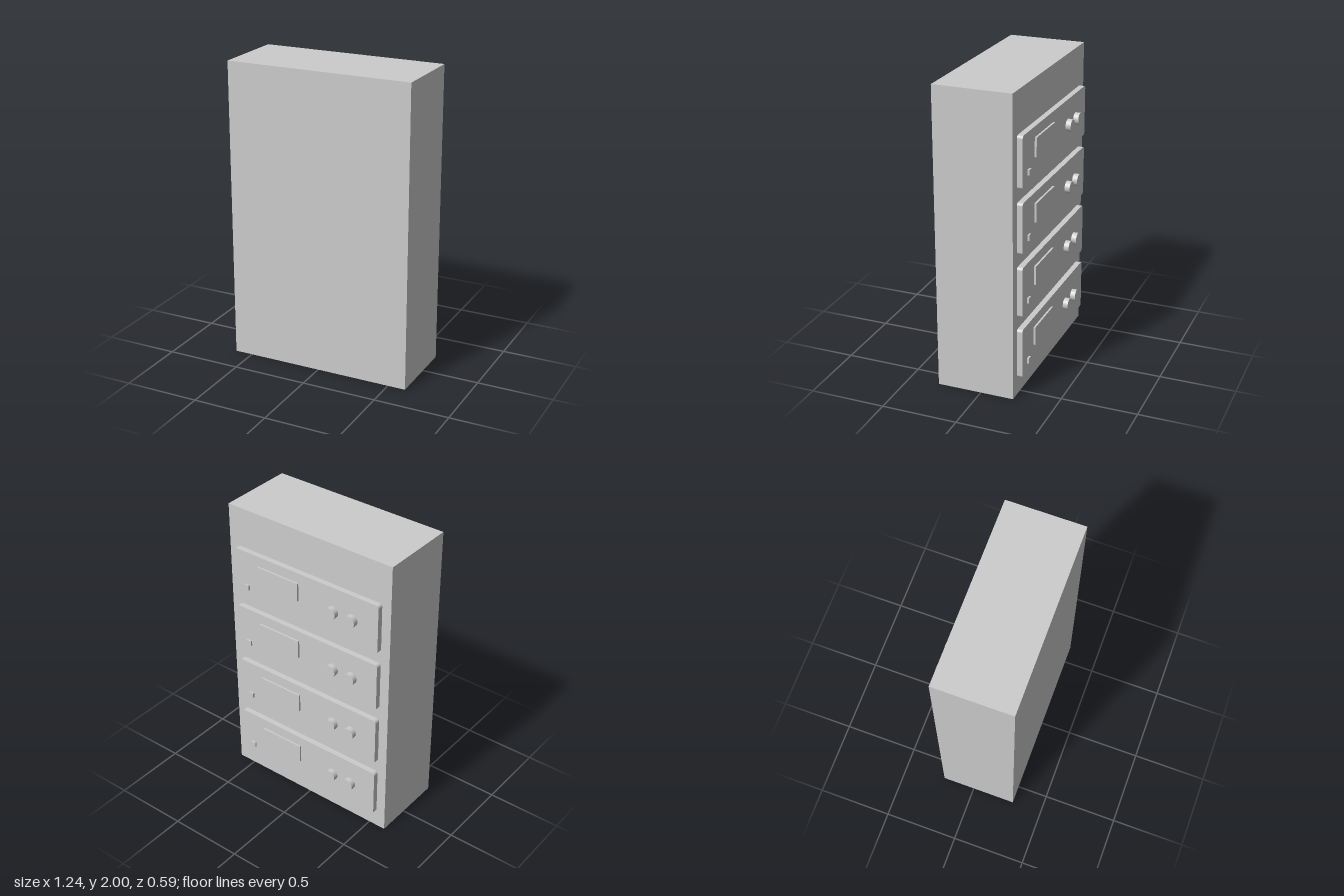
import * as THREE from 'three';

const material = new THREE.MeshStandardMaterial({ color: 0xcccccc });

function add(parent, name, geometry, x, y, z) {
  const mesh = new THREE.Mesh(geometry, material);
  mesh.name = name;
  mesh.position.set(x, y, z);
  parent.add(mesh);
  return mesh;
}

// Flat plate with rounded corners, extruded along z from 0 to depth
function roundedPlate(w, h, depth, r) {
  const x = w / 2 - r, y = h / 2 - r;
  const shape = new THREE.Shape();
  shape.absarc(x, y, r, 0, Math.PI / 2);
  shape.absarc(-x, y, r, Math.PI / 2, Math.PI);
  shape.absarc(-x, -y, r, Math.PI, Math.PI * 1.5);
  shape.absarc(x, -y, r, Math.PI * 1.5, Math.PI * 2);
  return new THREE.ExtrudeGeometry(shape, { depth, bevelEnabled: false, curveSegments: 6 });
}

export function createModel() {
  const model = new THREE.Group();
  model.name = 'rackCabinet';

  // Cabinet body
  add(model, 'cabinet', new THREE.BoxGeometry(1.24, 2, 0.514), 0, 1, 0.036);

  const faceZ = -0.258;
  const plate = roundedPlate(1.11, 0.338, 0.038, 0.02);
  const display = new THREE.BoxGeometry(0.316, 0.125, 0.013);
  const button = new THREE.BoxGeometry(0.036, 0.036, 0.013);
  const knob = new THREE.CylinderGeometry(0.04, 0.04, 0.035, 32).rotateX(Math.PI / 2);

  // Four identical control units on the rear face
  for (let i = 0; i < 4; i++) {
    const unit = new THREE.Group();
    unit.name = `controlUnit${i + 1}`;
    unit.position.y = 0.291 + i * 0.423;
    model.add(unit);

    add(unit, 'facePlate', plate, 0, 0, faceZ);
    add(unit, 'display', display, 0.203, 0.038, faceZ - 0.0065);
    add(unit, 'powerButton', button, 0.459, -0.083, faceZ - 0.0065);
    for (const x of [-0.365, -0.22]) add(unit, 'knob', knob, x, 0, faceZ - 0.0175);
  }

  return model;
}
